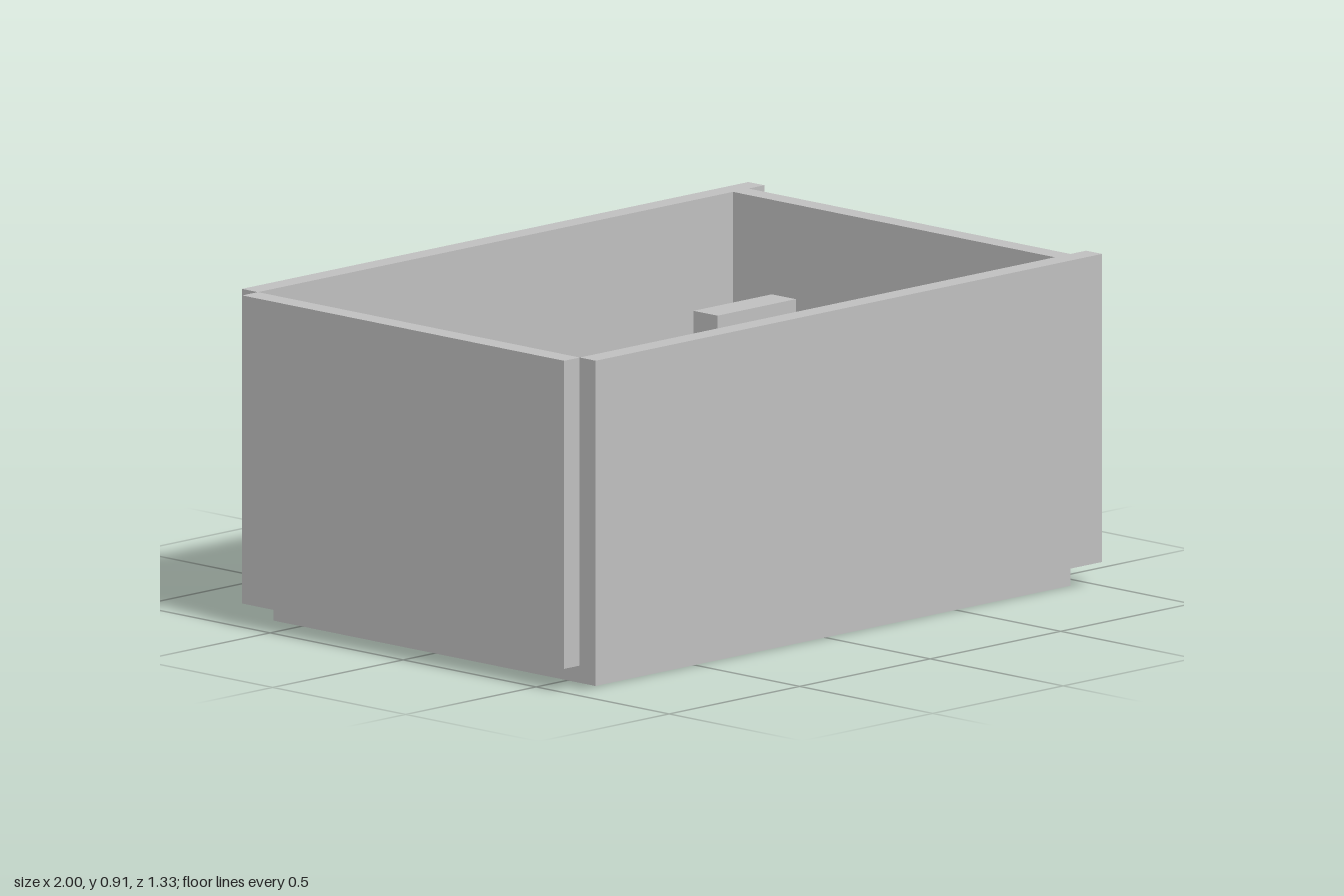
import * as THREE from 'three';

export function createModel() {
  const model = new THREE.Group();
  model.name = 'room';
  const grey = new THREE.MeshStandardMaterial({ color: 0xc0c0c0 });
  grey.name = 'plain grey';

  // Box given by its lower and upper limits on each axis
  function block(name, [x0, x1], [y0, y1], [z0, z1], parent = model) {
    const mesh = new THREE.Mesh(new THREE.BoxGeometry(x1 - x0, y1 - y0, z1 - z0), grey);
    mesh.position.set((x0 + x1) / 2, (y0 + y1) / 2, (z0 + z1) / 2);
    mesh.name = name;
    parent.add(mesh);
    return mesh;
  }

  const floorTop = 0.065, wallTop = 0.91;
  const inner = 0.605, outer = 0.665;

  // Floor slab and the wall flush with its edge, as one L-shaped section
  const section = new THREE.Shape([
    [-0.88, 0], [0.94, 0], [0.94, wallTop], [0.88, wallTop], [0.88, floorTop], [-0.88, floorTop],
  ].map(([x, y]) => new THREE.Vector2(x, y)));
  const shell = new THREE.ExtrudeGeometry(section, { depth: inner * 2, bevelEnabled: false });
  shell.translate(0, 0, -inner);
  const floor = new THREE.Mesh(shell, grey);
  floor.name = 'floorAndLeftWall';
  model.add(floor);

  // Remaining walls, offset from the floor
  block('rightWall', [-1, -0.94], [floorTop, wallTop], [-inner, inner]);
  block('frontWall', [-0.94, 1], [floorTop, wallTop], [inner, outer]);
  block('backWall', [-0.94, 1], [floorTop, wallTop], [-outer, -inner]);

  // Open-topped crib with a thin front panel
  const outline = new THREE.Shape([
    [-0.545, 0.245], [0.06, 0.245], [0.06, 0.52], [-0.545, 0.52],
  ].map(([x, y]) => new THREE.Vector2(x, y)));
  outline.holes.push(new THREE.Path([
    [-0.51, 0.25], [-0.51, 0.49], [0.025, 0.49], [0.025, 0.25],
  ].map(([x, y]) => new THREE.Vector2(x, y))));
  const cribShape = new THREE.ExtrudeGeometry(outline, { depth: 0.39 - floorTop, bevelEnabled: false });
  cribShape.rotateX(-Math.PI / 2);
  cribShape.translate(0, floorTop, 0);
  const crib = new THREE.Mesh(cribShape, grey);
  crib.name = 'crib';
  model.add(crib);

  // Solid furniture
  block('bookshelf', [0.515, 0.815], [floorTop, 0.67], [-0.395, -0.305]);
  block('desk', [0.515, 0.88], [floorTop, 0.31], [0.165, 0.375]);
  block('stool', [0.517, 0.65], [floorTop, 0.22], [0.04, 0.165]);

  return model;
}
